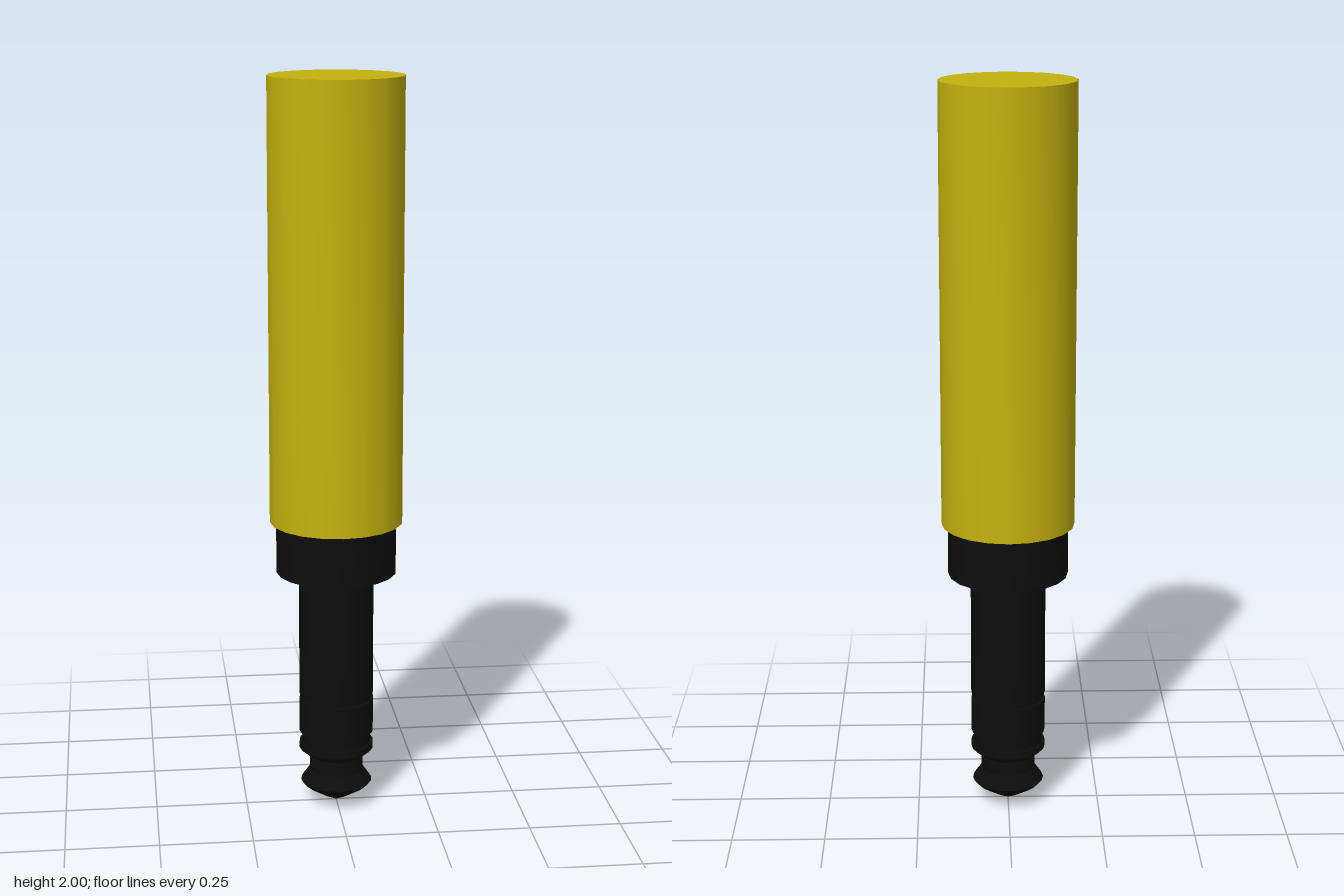
import * as THREE from 'three';
import { toCreasedNormals } from 'three/addons/utils/BufferGeometryUtils.js';

const SIDES = 20;
const yellow = new THREE.MeshStandardMaterial({ color: 0xc4b20f });
const black = new THREE.MeshStandardMaterial({ color: 0x0d0d0d });

// Turned part from [radius, height] pairs, listed from bottom to top
function turned(name, profile, material) {
  const points = profile.map(([r, y]) => new THREE.Vector2(r, y));
  const geometry = toCreasedNormals(new THREE.LatheGeometry(points, SIDES), Math.PI / 7);
  const mesh = new THREE.Mesh(geometry, material);
  mesh.name = name;
  return mesh;
}

export function createModel() {
  const model = new THREE.Group();
  model.name = 'jackPlug';

  // Pointed tip with a waist behind it
  model.add(turned('tip', [
    [0, 0], [0.035, 0.018], [0.085, 0.049], [0.098, 0.063], [0.09, 0.075],
    [0.074, 0.097], [0.074, 0.137], [0.102, 0.16], [0.102, 0.178], [0.094, 0.178],
  ], black));

  // Contact rings and shaft, parted by shallow insulator grooves
  model.add(turned('tipInsulator', [[0.094, 0.176], [0.094, 0.212]], black));
  model.add(turned('contactRing', [[0.094, 0.21], [0.102, 0.21], [0.102, 0.305], [0.094, 0.305]], black));
  model.add(turned('ringInsulator', [[0.094, 0.303], [0.094, 0.322]], black));
  model.add(turned('shaft', [[0.094, 0.32], [0.102, 0.32], [0.102, 0.67]], black));

  // Collar, with the dark underside of the handle above it
  model.add(turned('collar', [[0.1, 0.67], [0.163, 0.67], [0.163, 0.812]], black));
  model.add(turned('handleUnderside', [[0.16, 0.812], [0.18, 0.812]], black));

  // Coloured handle with a flat top
  model.add(turned('handle', [[0.18, 0.812], [0.18, 2], [0, 2]], yellow));

  return model;
}
